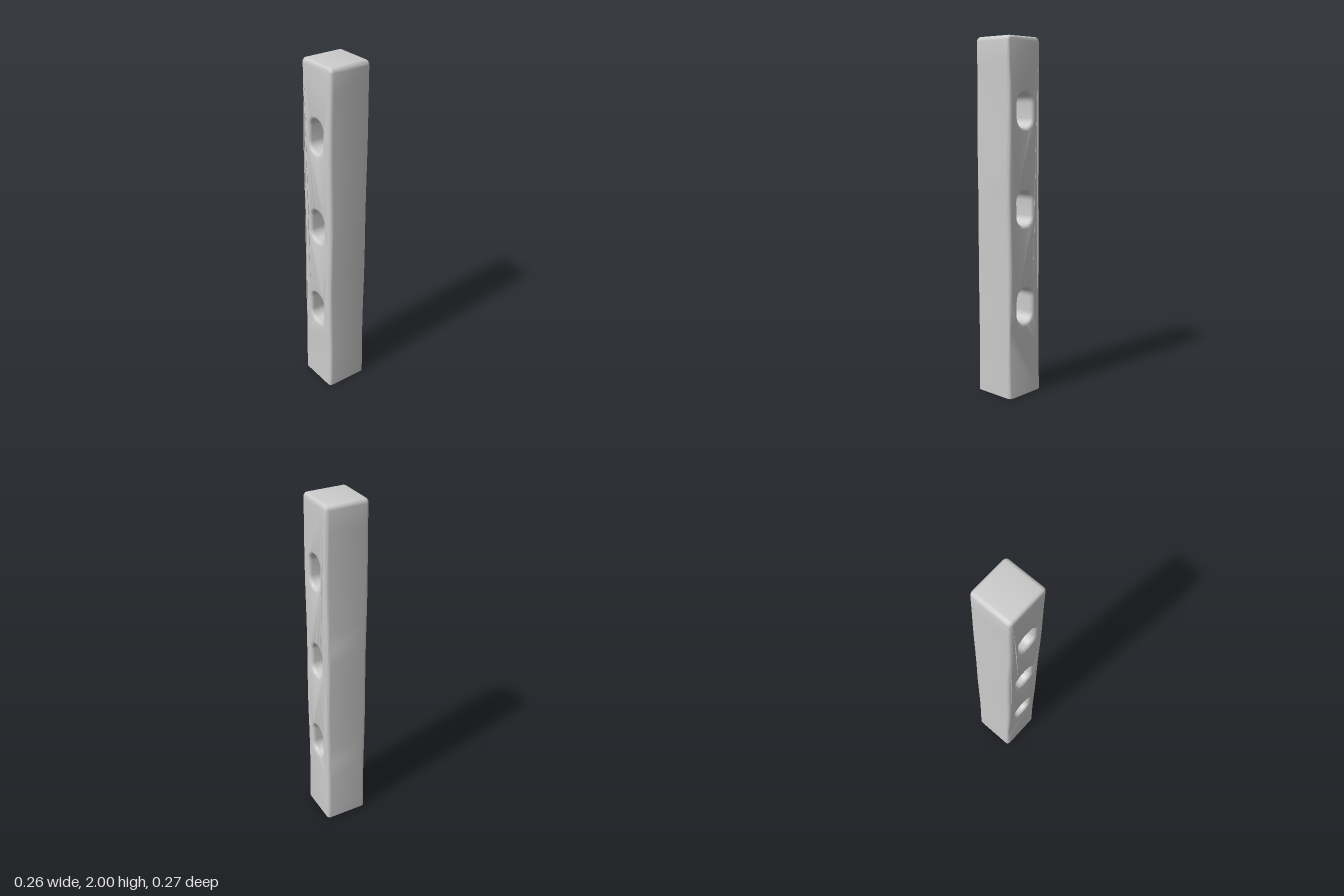
import * as THREE from 'three';
import { toCreasedNormals } from 'three/addons/utils/BufferGeometryUtils.js';

const HALF = 0.126, HEIGHT = 2, BEVEL = 0.02, CORNER = 0.025, STEPS = 18;

// Rounded upright slot (stadium-like) as a hole path
function slot(cy, w, h) {
  const r = w * 0.46, x = w / 2 - r, y = h / 2 - r;
  const path = new THREE.Path();
  path.absarc(x, cy + y, r, 0, Math.PI / 2);
  path.absarc(-x, cy + y, r, Math.PI / 2, Math.PI);
  path.absarc(-x, cy - y, r, Math.PI, Math.PI * 1.5);
  path.absarc(x, cy - y, r, Math.PI * 1.5, Math.PI * 2);
  path.closePath();
  return path;
}

// Post outline seen from the side, with extra points along the edges so it can be warped
function outline() {
  const pts = [], low = -0.05, top = HEIGHT - CORNER;
  for (let i = 0; i <= STEPS; i++) pts.push(new THREE.Vector2(HALF, low + (top - low) * i / STEPS));
  for (let i = 1; i < 4; i++) {
    const a = i / 4 * Math.PI / 2;
    pts.push(new THREE.Vector2(HALF - CORNER + CORNER * Math.cos(a), top + CORNER * Math.sin(a)));
  }
  const mirrored = pts.map(p => new THREE.Vector2(-p.x, p.y)).reverse();
  return [...pts, new THREE.Vector2(HALF - CORNER, HEIGHT), new THREE.Vector2(CORNER - HALF, HEIGHT), ...mirrored];
}

// Hand-hewn unevenness: a slight lean and gentle bulges, with a flat foot
function warp(geometry) {
  const p = geometry.attributes.position;
  for (let i = 0; i < p.count; i++) {
    const y = Math.max(0, p.getY(i)), x = p.getX(i), z = p.getZ(i);
    const bulge = 1 + 0.018 * Math.sin(y * 7.5 + (x > 0 ? 2.2 : 2.8));
    p.setXYZ(i, x * bulge - 0.002, y, z * (1 + 0.012 * Math.sin(y * 6 + 1)) + 0.006 * (y - 1));
  }
}

export function createModel() {
  const group = new THREE.Group();
  group.name = 'slottedPost';

  const shape = new THREE.Shape(outline());
  for (const [cy, w, h] of [[0.515, 0.118, 0.195], [1.067, 0.115, 0.187], [1.605, 0.115, 0.185]]) {
    shape.holes.push(slot(cy, w, h));
  }

  // Extrude across the width; rounded edges soften the post and the slot mouths
  const depth = 2 * (HALF - BEVEL);
  let geometry = new THREE.ExtrudeGeometry(shape, {
    depth, curveSegments: 8, bevelEnabled: true,
    bevelThickness: BEVEL, bevelSize: BEVEL, bevelOffset: -BEVEL, bevelSegments: 4,
  });
  geometry.translate(0, 0, -depth / 2);
  geometry.rotateY(Math.PI / 2);
  warp(geometry);
  geometry = toCreasedNormals(geometry, Math.PI / 4);

  const post = new THREE.Mesh(geometry, new THREE.MeshStandardMaterial({ color: 0xcccccc }));
  post.name = 'post';
  group.add(post);
  return group;
}
